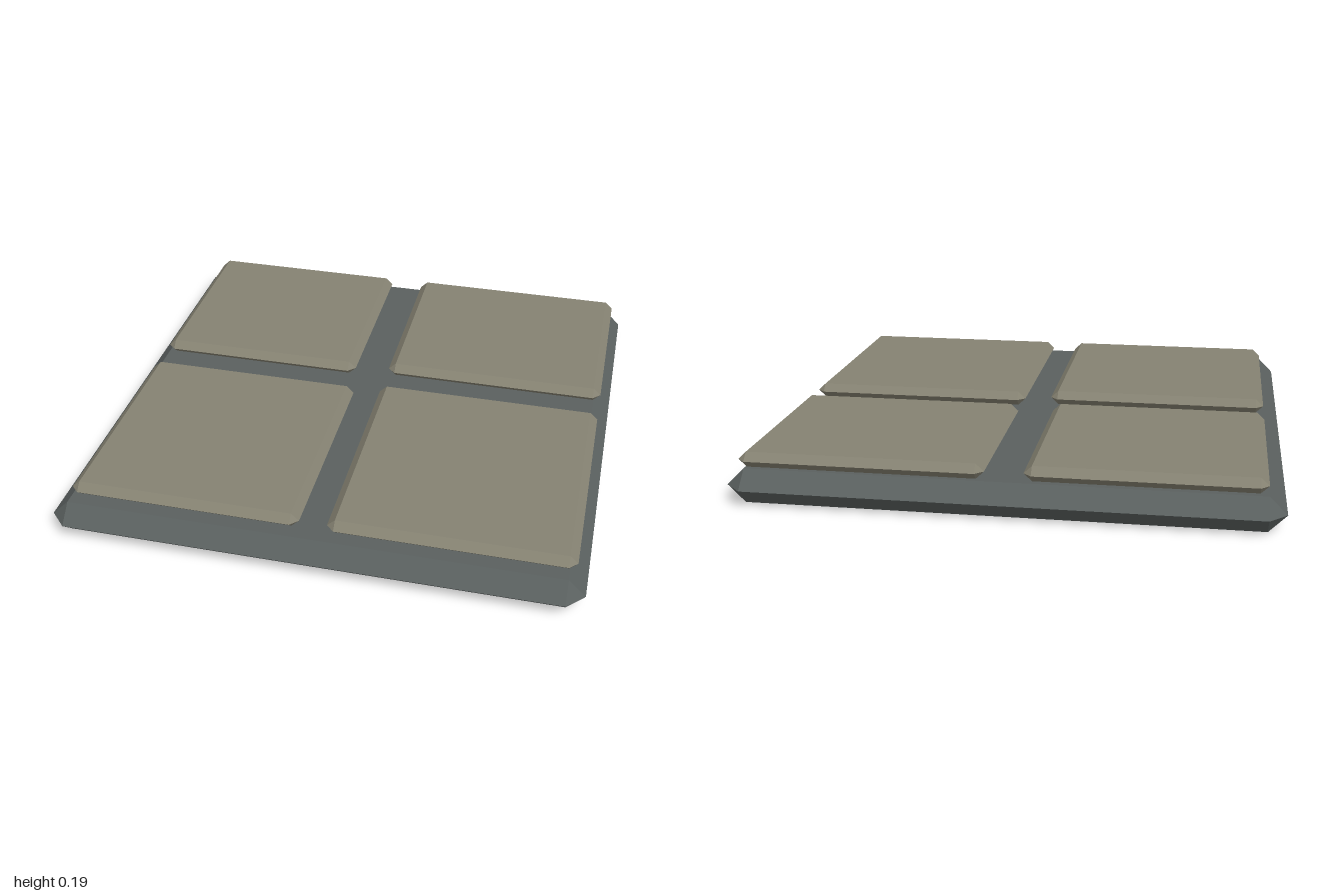
import * as THREE from 'three';
import { ConvexGeometry } from 'three/addons/geometries/ConvexGeometry.js';

// Slab whose edges are all chamfered to a ridge at mid height, with triangular corner facets
function bevelledSlab(width, height, depth, bevel) {
  const points = [];
  const x = width / 2, z = depth / 2, y = height / 2;
  for (const sx of [-1, 1]) {
    for (const sz of [-1, 1]) {
      points.push(
        new THREE.Vector3(sx * (x - bevel), y, sz * (z - bevel)),
        new THREE.Vector3(sx * (x - bevel), -y, sz * (z - bevel)),
        new THREE.Vector3(sx * x, 0, sz * (z - bevel)),
        new THREE.Vector3(sx * (x - bevel), 0, sz * z)
      );
    }
  }
  return new ConvexGeometry(points);
}

export function createModel() {
  const model = new THREE.Group();
  model.name = 'pavedFloorTile';

  const baseMaterial = new THREE.MeshStandardMaterial({ color: 0x5a605f, flatShading: true });
  const stoneMaterial = new THREE.MeshStandardMaterial({ color: 0x858272, flatShading: true });

  // Place a slab by its plan bounds and its bottom and top heights
  function addSlab(name, [x0, x1, z0, z1], y0, y1, bevel, material) {
    const mesh = new THREE.Mesh(bevelledSlab(x1 - x0, y1 - y0, z1 - z0, bevel), material);
    mesh.name = name;
    mesh.position.set((x0 + x1) / 2, (y0 + y1) / 2, (z0 + z1) / 2);
    model.add(mesh);
  }

  const baseTop = 0.13;
  addSlab('base', [-1, 1, -1, 1], 0, baseTop, 0.065, baseMaterial);

  // Four paving stones of slightly different sizes
  const stones = {
    backRightStone: [-0.935, -0.085, -0.94, -0.125],
    backLeftStone: [0.055, 0.96, -0.945, -0.155],
    frontRightStone: [-0.935, -0.05, 0, 0.905],
    frontLeftStone: [0.055, 0.96, -0.035, 0.905],
  };
  for (const [name, bounds] of Object.entries(stones)) {
    addSlab(name, bounds, baseTop, 0.187, 0.03, stoneMaterial);
  }

  return model;
}
